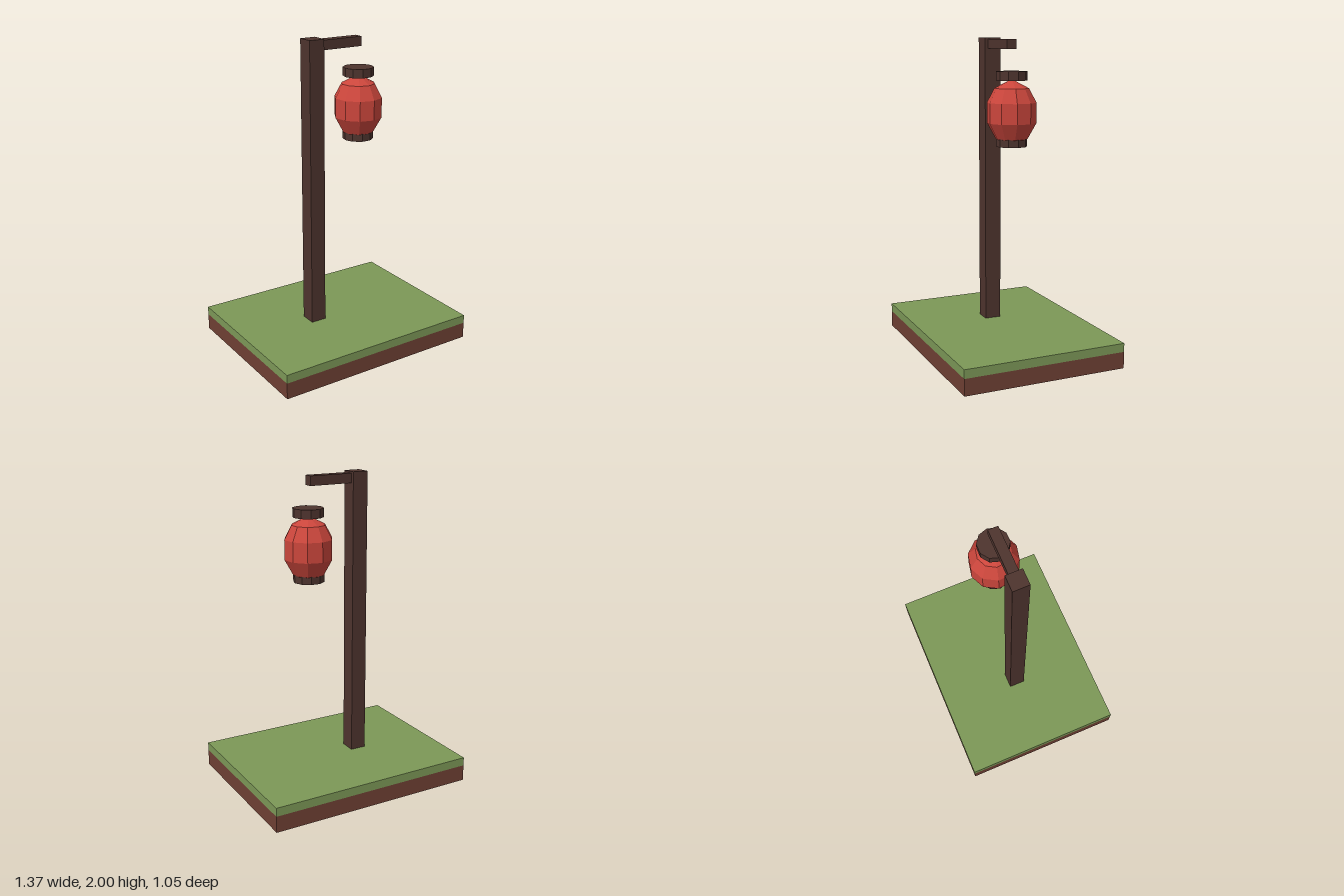
import * as THREE from 'three';

const mat = (name, color, extra = {}) => {
  const m = new THREE.MeshStandardMaterial({ color, ...extra });
  m.name = name;
  return m;
};

export function createModel() {
  const group = new THREE.Group();
  group.name = 'lanternPost';

  const grass = mat('grass green', 0x7c9857, { side: THREE.DoubleSide });
  const soil = mat('soil brown', 0x6f4034, { side: THREE.DoubleSide });
  const wood = mat('dark wood', 0x4e342e, { flatShading: true, side: THREE.DoubleSide });
  const paper = mat('lantern red', 0xcb463c, { flatShading: true });

  const add = (name, geometry, material, x, y, z = 0, turn = 0) => {
    const mesh = new THREE.Mesh(geometry, material);
    mesh.name = name;
    mesh.position.set(x, y, z);
    mesh.rotation.y = THREE.MathUtils.degToRad(turn);
    group.add(mesh);
  };

  // Box spanning two corners in x and y, centred on z; optionally without its underside
  const box = (name, material, x0, x1, y0, y1, depth, open) => {
    const g = new THREE.BoxGeometry(x1 - x0, y1 - y0, depth);
    if (open) {
      const index = Array.from(g.index.array);
      index.splice(18, 6);
      g.setIndex(index);
      g.clearGroups();
    }
    add(name, g, material, (x0 + x1) / 2, (y0 + y1) / 2);
  };

  // Ground slab, hollow underneath
  box('soilBase', soil, -0.683, 0.683, 0, 0.105, 1.053, true);
  box('grassTop', grass, -0.683, 0.683, 0.105, 0.16, 1.053, true);

  // Post and arm
  box('post', wood, -0.211, -0.109, 0.16, 2, 0.105, true);
  box('arm', wood, -0.109, 0.176, 1.93, 1.99, 0.062, true);

  // Ten-sided lantern with a cap at each end
  const lanternX = 0.176;
  const profile = [[0, 1.346], [0.098, 1.386], [0.152, 1.484], [0.152, 1.608], [0.106, 1.695], [0, 1.75]]
    .map(([r, y]) => new THREE.Vector2(r, y));
  add('lanternBody', new THREE.LatheGeometry(profile, 10), paper, lanternX, 0, 0, 6);
  for (const [name, y0, y1] of [['bottomCap', 1.34, 1.39], ['topCap', 1.742, 1.797]]) {
    add(name, new THREE.CylinderGeometry(0.097, 0.097, y1 - y0, 10), wood, lanternX, (y0 + y1) / 2, 0, 18);
  }

  return group;
}
